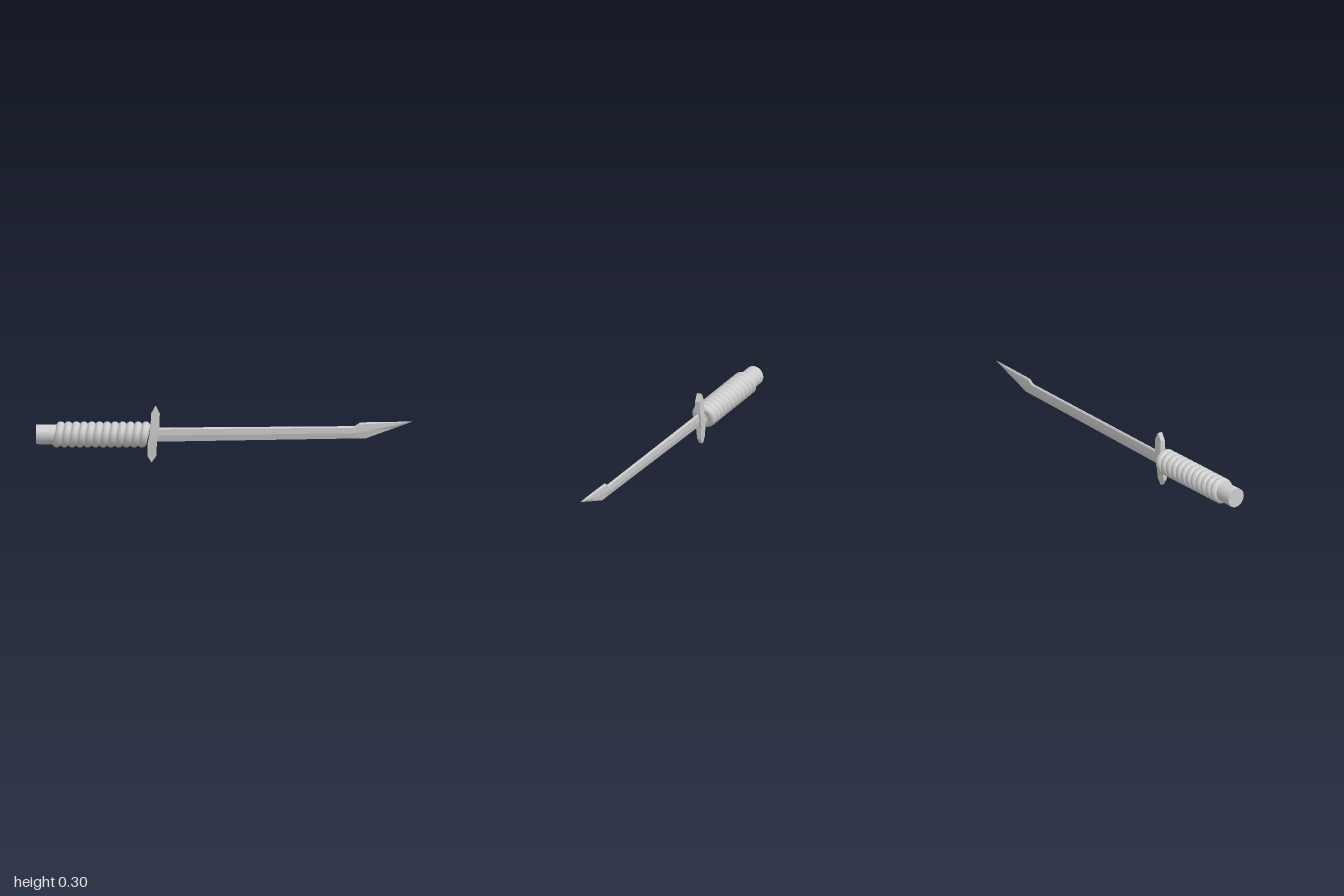
import * as THREE from 'three';

const AXIS_Y = 0.145;

// Faceted solid through matching rings of points (each ring counter-clockwise seen from the far end).
function loft(rings) {
  const pos = [];
  const tri = (...pts) => pts.forEach((p) => pos.push(...p));
  const n = rings[0].length;
  for (let i = 0; i < rings.length - 1; i++) {
    for (let j = 0; j < n; j++) {
      const k = (j + 1) % n;
      const a = rings[i], b = rings[i + 1];
      tri(a[j], a[k], b[k]);
      tri(a[j], b[k], b[j]);
    }
  }
  const first = rings[0], last = rings[rings.length - 1];
  for (let j = 1; j < n - 1; j++) {
    tri(first[0], first[j + 1], first[j]);
    tri(last[0], last[j], last[j + 1]);
  }
  const geo = new THREE.BufferGeometry();
  geo.setAttribute('position', new THREE.Float32BufferAttribute(pos, 3));
  geo.computeVertexNormals();
  return geo;
}

export function createModel() {
  const model = new THREE.Group();
  model.name = 'sword';
  const material = new THREE.MeshStandardMaterial({ color: 0xcccccc });
  const add = (geometry, name, parent = model) => {
    const mesh = new THREE.Mesh(geometry, material);
    mesh.name = name;
    parent.add(mesh);
    return mesh;
  };

  // Handle core, exposed at the pommel end
  const coreStart = -1, coreEnd = -0.44;
  const core = new THREE.CylinderGeometry(0.053, 0.053, coreEnd - coreStart, 24);
  core.rotateZ(Math.PI / 2);
  add(core, 'handleCore').position.set((coreStart + coreEnd) / 2, AXIS_Y, 0);

  // Tilted rings of the grip wrapping
  const grip = new THREE.Group();
  grip.name = 'gripWrapping';
  model.add(grip);
  const ring = new THREE.TorusGeometry(0.047, 0.024, 12, 18);
  ring.rotateY(Math.PI / 2);
  ring.rotateZ(-0.23);
  const count = 12;
  for (let i = 0; i < count; i++) {
    const x = THREE.MathUtils.lerp(-0.879, -0.426, i / (count - 1));
    add(ring, 'gripRing', grip).position.set(x, AXIS_Y, 0);
  }

  // Guard, slightly S-shaped with pointed ends: [y, x min, x max, half thickness]
  const guardRings = [
    [0.0, -0.388, -0.382, 0.01],
    [0.033, -0.408, -0.36, 0.011],
    [0.1, -0.406, -0.357, 0.016],
    [0.145, -0.397, -0.35, 0.018],
    [0.19, -0.391, -0.343, 0.017],
    [0.257, -0.388, -0.342, 0.014],
    [0.296, -0.368, -0.362, 0.013],
  ].map(([y, x0, x1, t]) => [[x1, y, -t], [x0, y, -t], [x0, y, t], [x1, y, t]]);
  add(loft(guardRings), 'guard');

  // Blade with chamfered spine and sharp lower edge: [x, edge y, spine y, half thickness]
  const bladeRings = [
    [-0.39, 0.106, 0.182, 0.008],
    [0.695, 0.127, 0.193, 0.008],
    [0.722, 0.127, 0.213, 0.008],
    [0.754, 0.128, 0.214, 0.008],
    [0.91, 0.185, 0.217, 0.007],
    [1.0, 0.2185, 0.2195, 0.0005],
  ].map(([x, low, top, t]) => {
    const h = top - low;
    const shoulder = top - 0.1 * h, bevel = low + 0.45 * h;
    return [
      [x, top, -t * 0.4], [x, top, t * 0.4],
      [x, shoulder, t], [x, bevel, t],
      [x, low, 0],
      [x, bevel, -t], [x, shoulder, -t],
    ];
  });
  add(loft(bladeRings), 'blade');

  return model;
}
